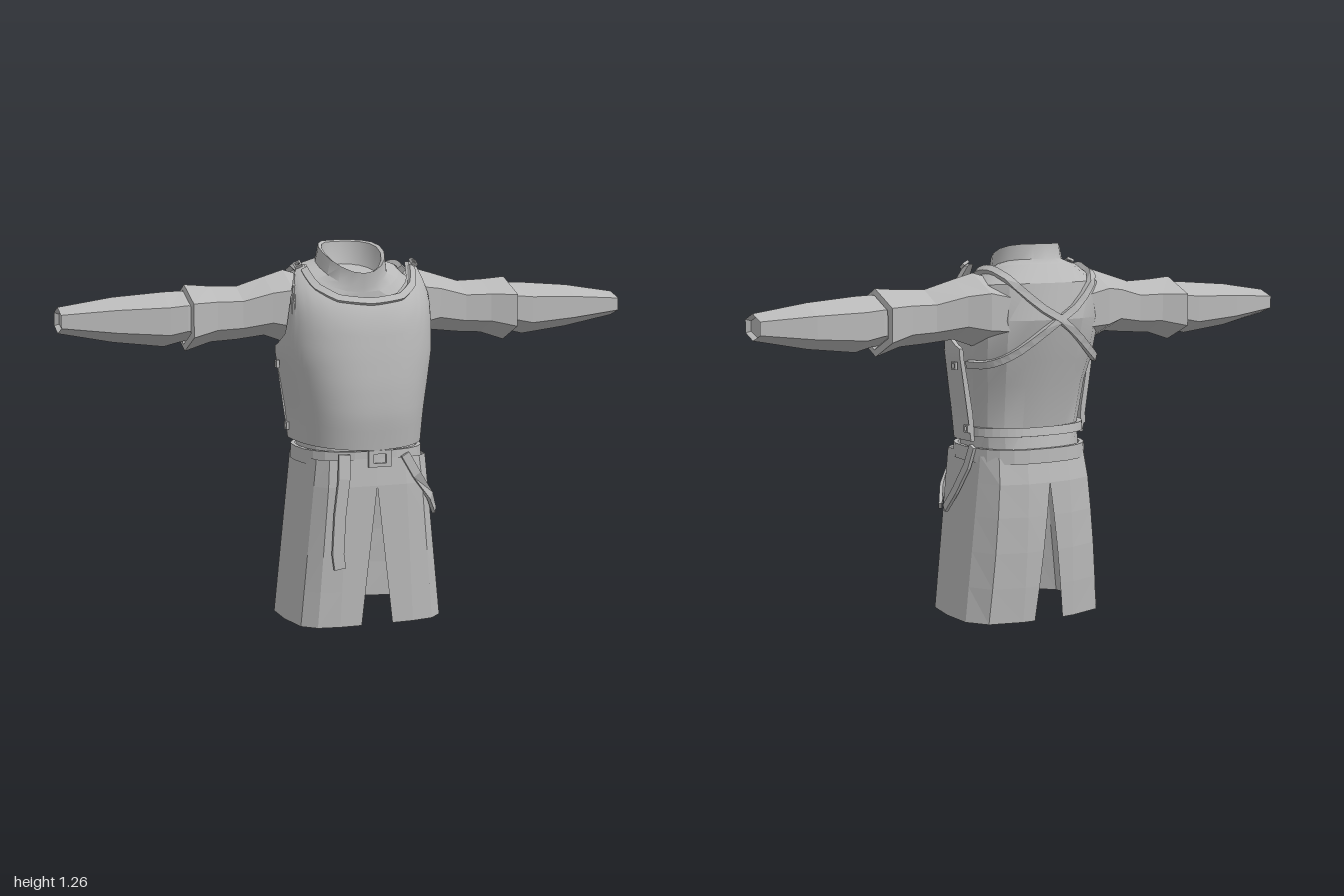
import * as THREE from 'three';
import { toCreasedNormals } from 'three/addons/utils/BufferGeometryUtils.js';

const V = (x, y, z) => new THREE.Vector3(x, y, z);
const spow = (v, e) => Math.sign(v) * Math.abs(v) ** e;
const rad = THREE.MathUtils.degToRad;

// Piecewise-linear lookup in a list of [key, value, value...]
function lookup(table, k) {
  let i = 0;
  while (i < table.length - 2 && k > table[i + 1][0]) i++;
  const a = table[i], b = table[i + 1];
  const t = THREE.MathUtils.clamp((k - a[0]) / (b[0] - a[0]), 0, 1);
  return a.slice(1).map((v, j) => v + (b[j + 1] - v) * t);
}

// Skin a list of equal-length rings; crease 0 gives flat facets
function loft(rings, { closed = true, caps = false, wrap = false, crease = 0 } = {}) {
  const n = rings[0].length, pos = [], idx = [];
  rings.forEach(r => r.forEach(p => pos.push(p.x, p.y, p.z)));
  const rows = wrap ? rings.length : rings.length - 1;
  for (let i = 0; i < rows; i++) {
    for (let j = 0; j < (closed ? n : n - 1); j++) {
      const i2 = (i + 1) % rings.length, j2 = (j + 1) % n;
      const a = i * n + j, b = i * n + j2, c = i2 * n + j2, d = i2 * n + j;
      idx.push(a, b, c, a, c, d);
    }
  }
  if (caps) {
    const e = (rings.length - 1) * n;
    for (let j = 1; j < n - 1; j++) idx.push(0, j + 1, j, e, e + j, e + j + 1);
  }
  const g = new THREE.BufferGeometry();
  g.setAttribute('position', new THREE.Float32BufferAttribute(pos, 3));
  g.setIndex(idx);
  if (crease) return toCreasedNormals(g, crease);
  const flat = g.toNonIndexed();
  flat.computeVertexNormals();
  return flat;
}

// Flat strap along points, facing the given normals
function strap(pts, normals, width, thick) {
  const rings = pts.map((p, i) => {
    const t = pts[Math.min(i + 1, pts.length - 1)].clone().sub(pts[Math.max(i - 1, 0)]).normalize();
    const n = normals[i].clone().normalize();
    const s = t.clone().cross(n).normalize().multiplyScalar(width / 2);
    const o = n.multiplyScalar(thick / 2);
    return [p.clone().sub(s).sub(o), p.clone().add(s).sub(o), p.clone().add(s).add(o), p.clone().sub(s).add(o)];
  });
  return loft(rings, { caps: true });
}

// Shirt sections: level, y, half width, front z, back z, front drop
const SHIRT = [
  [0, 0.54, 0.2, 0.2, -0.165, 0], [1, 0.65, 0.2, 0.19, -0.145, 0],
  [2, 0.8, 0.215, 0.185, -0.175, 0], [3, 0.88, 0.232, 0.18, -0.203, 0],
  [4, 1.02, 0.245, 0.165, -0.235, 0], [5, 1.14, 0.232, 0.1, -0.215, 0.06],
  [6, 1.2, 0.17, 0.1, -0.165, 0.1], [7, 1.215, 0.122, 0.1, -0.15, 0.1],
  [8, 1.265, 0.112, 0.105, -0.143, 0.1], [9, 1.26, 0.1, 0.09, -0.13, 0.1],
  [10, 1.17, 0.09, 0.075, -0.12, 0.06], [11, 1.11, 0.05, 0.03, -0.08, 0.01],
];
function shirtPoint(level, a) {
  const [y, hw, zf, zb, drop] = lookup(SHIRT, level);
  const c = Math.cos(a), e = level > 5.5 ? 1 : 0.85;
  return V(hw * spow(Math.sin(a), e), y - drop * ((1 + c) / 2) ** 2, (zf + zb) / 2 + (zf - zb) / 2 * spow(c, e));
}

// Strap laid on the shirt through [level, degrees] points
function shirtStrap(path, width) {
  const curve = new THREE.CatmullRomCurve3(path.map(([l, a]) => V(l, rad(a), 0)));
  const pts = [], normals = [];
  for (const q of curve.getPoints(22)) {
    const p = shirtPoint(q.x, q.y);
    const n = shirtPoint(q.x, q.y + 0.05).sub(p).cross(shirtPoint(q.x + 0.05, q.y).sub(p)).normalize();
    pts.push(p.addScaledVector(n, 0.01));
    normals.push(n);
  }
  return strap(pts, normals, width, 0.018);
}

// Breastplate: y, half width, front z; top edge by |u|
const PLATE = [
  [0.59, 0.222, 0.226], [0.7, 0.23, 0.24], [0.8, 0.247, 0.236], [0.9, 0.266, 0.223], [1.0, 0.268, 0.205],
  [1.06, 0.268, 0.182], [1.1, 0.266, 0.152], [1.15, 0.258, 0.1], [1.21, 0.24, 0.04],
];
const PLATE_TOP = [[0, 1.085], [0.2, 1.097], [0.38, 1.135], [0.5, 1.195], [0.62, 1.195], [0.7, 1.1], [0.82, 0.97], [1, 0.92]];
function platePoint(u, y, inset) {
  const [hw, zf] = lookup(PLATE, y), a = u * Math.PI / 2;
  return V((hw - inset) * spow(Math.sin(a), 0.77), y, -0.04 + (zf - inset + 0.04) * Math.max(0, Math.cos(a)) ** 0.77);
}
function plateGeometry() {
  const cols = [], N = 48, M = 16;
  for (let i = 0; i <= N; i++) {
    const u = i / N * 2 - 1, [top] = lookup(PLATE_TOP, Math.abs(u)), bottom = 0.588 + 0.02 * Math.abs(u);
    const col = [];
    for (let j = 0; j <= M; j++) col.push(platePoint(u, bottom + (top - bottom) * j / M, 0));
    for (let j = M; j >= 0; j--) col.push(platePoint(u, bottom + (top - bottom) * j / M, 0.014));
    cols.push(col);
  }
  return loft(cols, { caps: true, crease: 0.7 });
}

// Arm sections: x, top y, bottom y, front z, back z, on a hexagon
const armRings = rows => rows.map(([x, top, bot, zf, zb]) => Array.from({ length: 6 }, (_, i) => {
  const a = i * Math.PI / 3;
  return V(x, (top + bot) / 2 + (top - bot) / 2 * Math.cos(a), (zf + zb) / 2 + (zf - zb) / 2 * Math.sin(a) / 0.866);
}));
const UPPER_ARM = [
  [0.12, 1.14, 0.93, 0.05, -0.19], [0.23, 1.172, 0.93, 0.06, -0.19], [0.3, 1.152, 0.955, 0.05, -0.16],
  [0.4, 1.122, 0.945, 0.042, -0.13], [0.49, 1.125, 0.94, 0.05, -0.135], [0.578, 1.132, 0.912, 0.076, -0.162],
  [0.582, 1.112, 0.935, 0.052, -0.138], [0.55, 1.09, 0.96, 0.03, -0.11],
];
const FOREARM = [
  [0.54, 1.1, 0.95, 0.04, -0.12], [0.59, 1.112, 0.945, 0.052, -0.132], [0.65, 1.11, 0.93, 0.05, -0.132],
  [0.82, 1.097, 0.95, 0.034, -0.125], [1.0, 1.07, 0.985, 0.018, -0.095], [0.985, 1.06, 0.995, 0.008, -0.085],
];

// One half of the slit skirt
function skirtGeometry() {
  const rows = [0.56, 0.47, 0.36, 0.24, 0.12, 0].map(y => {
    const k = 1 - 0.4 * y, s = 0.055 * Math.max(0, 1 - y / 0.47), f = y > 0.5 ? -0.01 : 0;
    const b = y > 0.5 ? 0.012 : -0.012 * Math.sin(Math.PI * y / 0.56);
    return [[s / k, 0.228 + f], [0.13, 0.226 + f], [0.205, 0.213 + f], [0.25, 0.17], [0.268, 0.05],
      [0.265, -0.07], [0.215, -0.14 + b], [0.1, -0.172 + b], [s / k, -0.175 + b]].map(([x, z]) => V(x * k, y, z));
  });
  return loft(rows, { closed: false });
}

function beltGeometry() {
  const rings = [[0.537, 0], [0.537, 0.016], [0.585, 0.014], [0.585, 0]].map(([y, o]) =>
    Array.from({ length: 24 }, (_, i) => {
      const a = i / 24 * Math.PI * 2;
      return V((0.202 + o) * spow(Math.sin(a), 0.8), y, 0.021 + (0.183 + o) * spow(Math.cos(a), 0.8));
    }));
  return loft(rings, { wrap: true });
}

// Square buckle frame with a hollow centre
function buckleGeometry(w, h) {
  const s = new THREE.Shape([[-w, -h], [w, -h], [w, h], [-w, h]].map(p => new THREE.Vector2(...p)));
  const k = 0.55;
  s.holes.push(new THREE.Path([[-w, -h], [-w, h], [w, h], [w, -h]].map(p => new THREE.Vector2(p[0] * k, p[1] * k))));
  return new THREE.ExtrudeGeometry(s, { depth: 0.01, bevelEnabled: false });
}

export function createModel() {
  const model = new THREE.Group();
  const grey = new THREE.MeshStandardMaterial({ color: 0xb8b8b8, side: THREE.DoubleSide });
  grey.name = 'grey cloth';
  const add = (name, geometry) => {
    const m = new THREE.Mesh(geometry, grey);
    m.name = name;
    model.add(m);
    return m;
  };
  const both = (name, make) => {
    for (const s of [1, -1]) add((s > 0 ? 'left ' : 'right ') + name, make()).scale.x = s;
  };

  // Shirt with its standing collar and hollow neck
  const ring = l => Array.from({ length: 18 }, (_, i) => shirtPoint(l, i / 18 * Math.PI * 2));
  add('shirt', loft(SHIRT.slice(0, 7).map(s => ring(s[0])), { crease: 0.35 }));
  add('collar', loft([6, 7, 8, 9, 10, 11].map(ring), { caps: true, crease: 0.8 }));

  // Sleeves
  both('upper sleeve', () => loft(armRings(UPPER_ARM), { caps: true }));
  both('forearm sleeve', () => loft(armRings(FOREARM), { caps: true }));

  // Breastplate and the raised trim on its neckline
  add('breastplate', plateGeometry());
  const trim = [], trimNormals = [];
  for (let i = 0; i <= 24; i++) {
    const u = (i / 24 - 0.5) * 0.98, y = lookup(PLATE_TOP, Math.abs(u))[0] - 0.01;
    trim.push(platePoint(u, y, -0.003));
    trimNormals.push(V(u * 0.9, 0.6, 0.7));
  }
  add('neckline trim', strap(trim, trimNormals, 0.024, 0.014));

  // Crossed back straps, waist strap and their buckles
  both('back strap', () => shirtStrap([[5.9, 80], [5.75, 110], [5.1, 140], [4, 180], [3.2, 215], [2.95, 240], [2.9, 262]], 0.024));
  add('waist strap', shirtStrap([[0.9, 95], [0.9, 140], [0.9, 180], [0.9, 220], [0.9, 265]], 0.03));
  for (const [name, x, y, z, tilt] of [['shoulder buckle', 0.205, 1.19, 0.025, -1], ['chest buckle', 0.264, 0.862, -0.01, 0], ['waist buckle', 0.226, 0.65, -0.025, 0]]) {
    for (const s of [1, -1]) {
      const b = add(name, buckleGeometry(0.013, 0.013));
      b.position.set(s * x, y, z);
      b.rotation.set(tilt, tilt ? s * 0.5 : s * Math.PI / 2, 0);
    }
  }

  // Skirt, belt and hanging belt ends
  both('skirt half', skirtGeometry);
  add('belt', beltGeometry());
  add('belt buckle', buckleGeometry(0.04, 0.028)).position.set(0.01, 0.56, 0.217);
  const front = V(0, 0, 1), side = V(1, 0, 0.5);
  add('belt tail', strap([V(-0.115, 0.58, 0.222), V(-0.12, 0.5, 0.233), V(-0.135, 0.38, 0.234), V(-0.142, 0.25, 0.234), V(-0.135, 0.2, 0.234)],
    [front, front, front, front, front], 0.04, 0.012));
  add('front hanging strap', strap([V(0.1, 0.57, 0.223), V(0.14, 0.5, 0.228), V(0.2, 0.42, 0.2), V(0.237, 0.36, 0.15)],
    [front, front, V(0.7, 0, 0.7), side], 0.03, 0.012));
  add('side hanging strap', strap([V(0.214, 0.59, -0.035), V(0.222, 0.52, -0.01), V(0.236, 0.43, 0.045), V(0.242, 0.36, 0.105)],
    [V(1, 0, 0), V(1, 0, 0), V(1, 0, 0.1), V(1, 0, 0.2)], 0.03, 0.012));
  return model;
}
